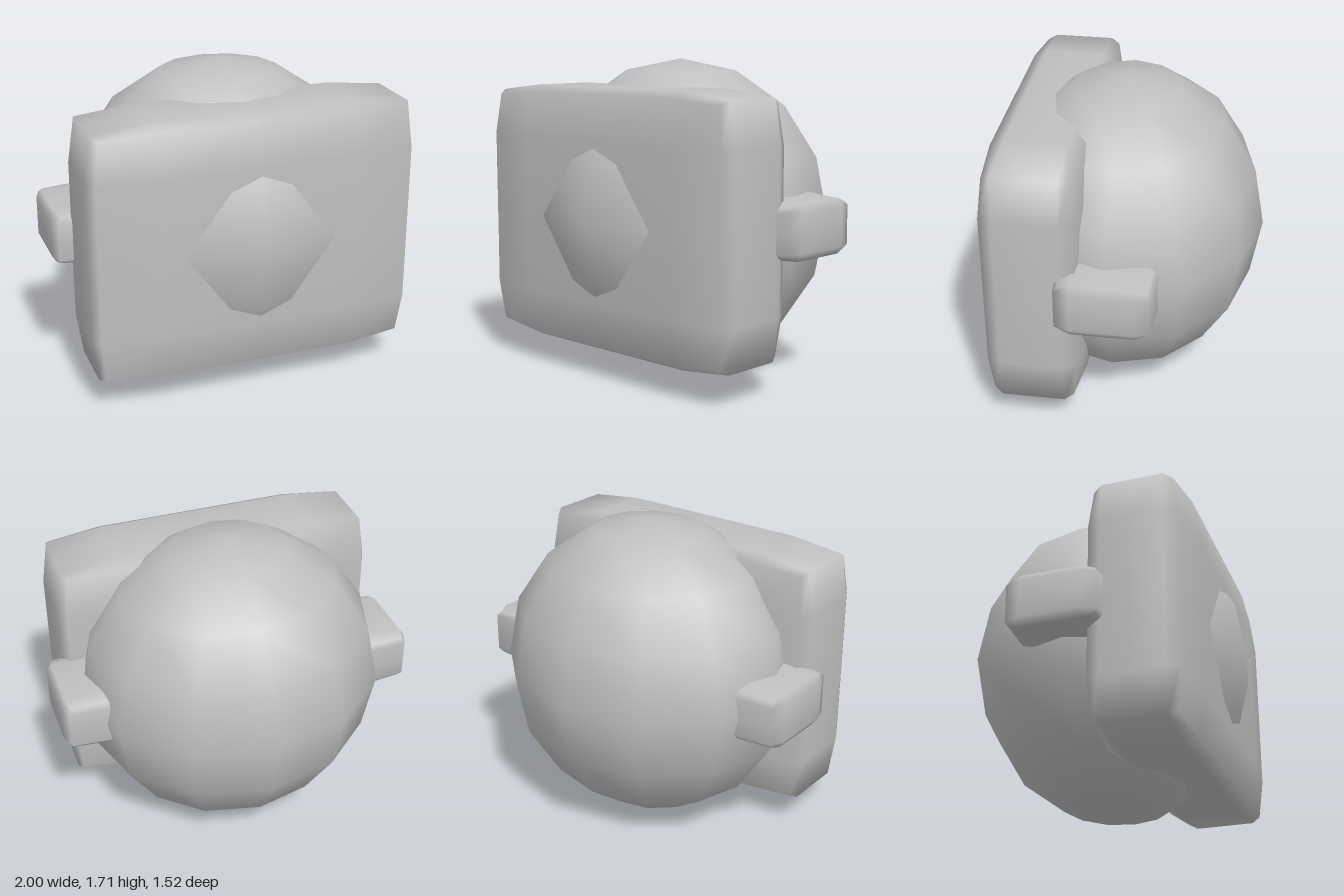
import * as THREE from 'three';
import { mergeVertices } from 'three/addons/utils/BufferGeometryUtils.js';

// Softened box: 4 segments per side, inner grid lines moved outward,
// edges and corners pulled in, smooth normals throughout.
function softBox(half, inset, grid = 0.61) {
  const geo = new THREE.BoxGeometry(2, 2, 2, 4, 4, 4);
  geo.deleteAttribute('uv');
  geo.deleteAttribute('normal');
  const merged = mergeVertices(geo);
  const pos = merged.attributes.position;
  for (let i = 0; i < pos.count; i++) {
    const v = [pos.getX(i), pos.getY(i), pos.getZ(i)];
    const outer = v.filter((c) => Math.abs(c) > 0.99).length;
    const p = v.map((c, k) => {
      const a = Math.abs(c);
      if (a > 0.99) return Math.sign(c) * (half[k] - inset * [0, 0, 1, 1.65][outer]);
      return a > 0.1 ? Math.sign(c) * grid * half[k] : 0;
    });
    pos.setXYZ(i, ...p);
  }
  merged.computeVertexNormals();
  return merged;
}

export function createModel() {
  const model = new THREE.Group();
  const grey = new THREE.MeshStandardMaterial({ color: 0xbfbfbf });
  grey.name = 'plain grey';

  const add = (name, geometry, y, z) => {
    const mesh = new THREE.Mesh(geometry, grey);
    mesh.name = name;
    mesh.position.set(0, y, z);
    model.add(mesh);
  };

  // Round body, slightly flattened front to back
  add('body', new THREE.SphereGeometry(1, 12, 8).scale(0.855, 0.855, 0.762), 0.86, 0);

  // Thick front plate, with the body poking through its middle
  add('frontPlate', softBox([0.9, 0.712, 0.275], 0.036), 0.86, 0.388);

  // Bar passing through the body, ending in a stub on each side
  add('sideBar', softBox([1, 0.173, 0.272], 0.027), 0.86, -0.005);

  return model;
}
